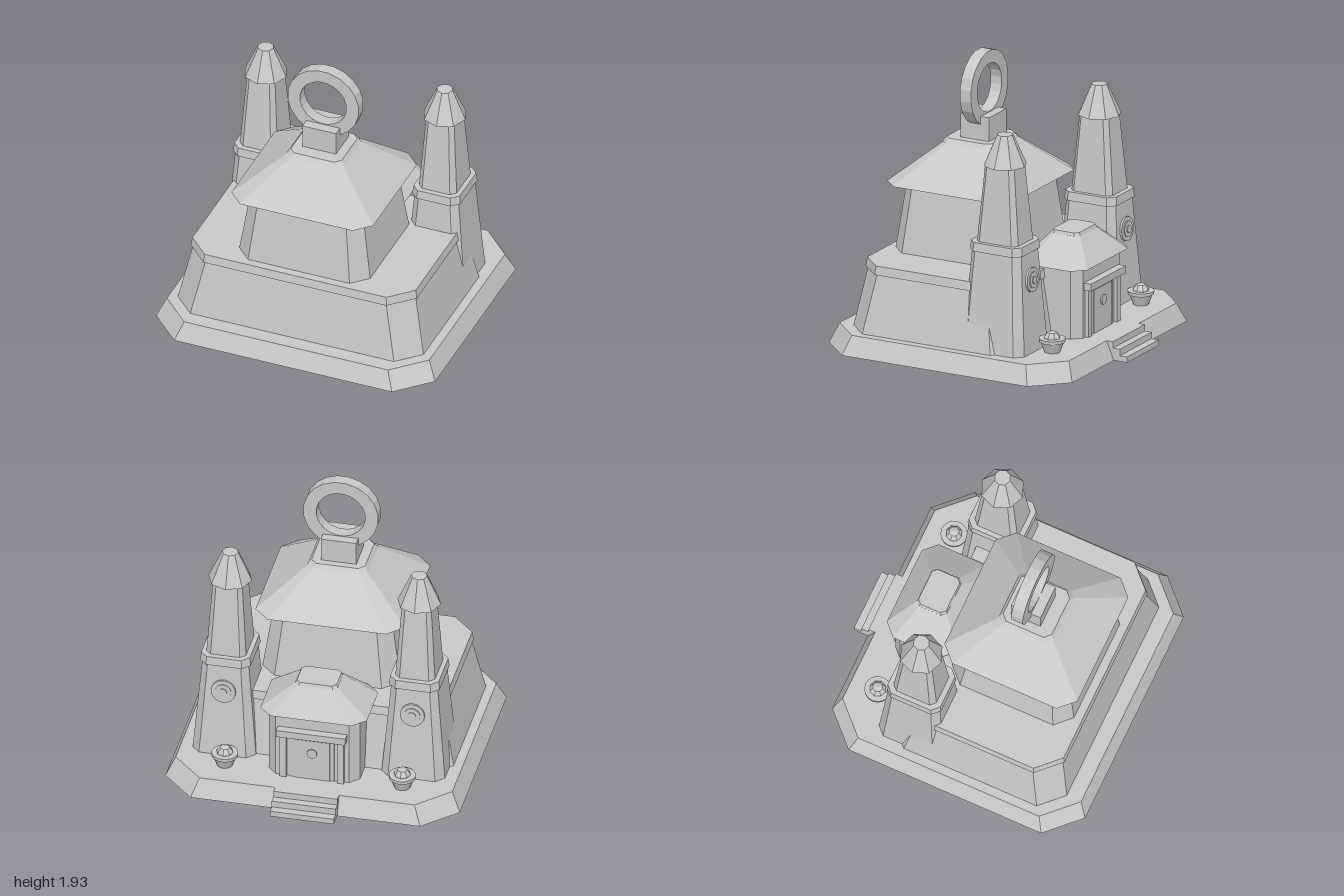
import * as THREE from 'three';

const stone = new THREE.MeshStandardMaterial({ color: 0xc8c8c8, flatShading: true, side: THREE.DoubleSide });
stone.name = 'stone';

// Chamfered rectangular cross-sections [y, halfX, halfZ, chamfer], joined bottom to top.
function loft(sections, openBottom = false) {
  const rings = sections.map(([y, x, z, c]) =>
    [[c - x, z], [x - c, z], [x, z - c], [x, c - z], [x - c, -z], [c - x, -z], [-x, c - z], [-x, z - c]]
      .map(([px, pz]) => [px, y, pz]));
  const pos = [];
  const tri = (...corners) => corners.forEach((p) => pos.push(...p));
  for (let r = 0; r < rings.length - 1; r++) {
    for (let i = 0; i < 8; i++) {
      const j = (i + 1) % 8, lo = rings[r], hi = rings[r + 1];
      tri(lo[i], lo[j], hi[j]);
      tri(lo[i], hi[j], hi[i]);
    }
  }
  const bottom = rings[0], top = rings[rings.length - 1];
  for (let i = 1; i < 7; i++) {
    tri(top[0], top[i], top[i + 1]);
    if (!openBottom) tri(bottom[0], bottom[i + 1], bottom[i]);
  }
  const g = new THREE.BufferGeometry();
  g.setAttribute('position', new THREE.Float32BufferAttribute(pos, 3));
  g.computeVertexNormals();
  return g;
}

function add(parent, name, geometry, x = 0, y = 0, z = 0) {
  const m = new THREE.Mesh(geometry, stone);
  m.name = name;
  m.position.set(x, y, z);
  parent.add(m);
  return m;
}

const box = (w, h, d) => new THREE.BoxGeometry(w, h, d);
const drum = (top, bottom, h, n) => new THREE.CylinderGeometry(top, bottom, h, n);

function makeTower() {
  const t = new THREE.Group();
  add(t, 'towerFoot', loft([[0.13, 0.215, 0.235, 0.055], [0.82, 0.157, 0.186, 0.045]]));
  add(t, 'towerBand', loft([[0.81, 0.172, 0.199, 0.05], [0.87, 0.165, 0.192, 0.048]]));
  add(t, 'towerShaft', loft([[0.86, 0.135, 0.157, 0.035], [1.4, 0.1, 0.11, 0.028]]));
  add(t, 'towerCap', drum(0.055, 0.148, 0.21, 8), 0, 1.495, 0);
  // Stepped round medallion on the back face
  const medallion = new THREE.Group();
  medallion.name = 'medallion';
  [[0.083, 0.03], [0.055, 0.044], [0.027, 0.058]].forEach(([r, h]) => {
    add(medallion, 'medallionRing', drum(r, r, h, 20)).rotation.x = Math.PI / 2;
  });
  medallion.position.set(0, 0.62, -0.2);
  medallion.rotation.x = 0.07;
  t.add(medallion);
  return t;
}

function makeBrazier() {
  const b = new THREE.Group();
  add(b, 'brazierBowl', drum(0.083, 0.053, 0.08, 16), 0, 0.17, 0);
  add(b, 'brazierRim', drum(0.09, 0.088, 0.024, 16), 0, 0.213, 0);
  add(b, 'brazierCoals', new THREE.SphereGeometry(0.058, 8, 5), 0, 0.218, 0);
  return b;
}

export function createModel() {
  const model = new THREE.Group();
  model.name = 'temple';

  // Hollow plinth, open underneath, and lower hall
  add(model, 'plinth', loft([[0, 1, 0.923, 0.22], [0.13, 0.94, 0.87, 0.21]], true), 0, 0, 0.05);
  add(model, 'lowerHall', loft([[0.13, 0.88, 0.635, 0.15], [0.54, 0.795, 0.567, 0.15]]), 0, 0, 0.18);
  add(model, 'lowerHallBand', loft([[0.53, 0.81, 0.585, 0.155], [0.59, 0.8, 0.575, 0.15]]), 0, 0, 0.18);

  // Upper hall and hipped roof
  add(model, 'upperHall', loft([[0.58, 0.47, 0.445, 0.105], [1.06, 0.4, 0.385, 0.088]]), 0, 0, 0.255);
  add(model, 'mainRoof', loft([[1.055, 0.508, 0.485, 0.105], [1.32, 0.185, 0.178, 0.035]]), 0, 0, 0.257);
  add(model, 'roofSlab', loft([[1.31, 0.205, 0.2, 0.045], [1.34, 0.182, 0.177, 0.04]]), 0, 0, 0.257);

  // Ring on its block
  add(model, 'ringBlock', box(0.24, 0.175, 0.215), 0, 1.4175, 0.235);
  const circle = (r) => Array.from({ length: 20 }, (_, i) => {
    const a = (i + 0.5) * Math.PI / 10;
    return new THREE.Vector2(r * Math.cos(a), r * Math.sin(a));
  });
  const shape = new THREE.Shape(circle(0.256));
  shape.holes.push(new THREE.Path(circle(0.167)));
  const ring = new THREE.ExtrudeGeometry(shape, { depth: 0.084, bevelEnabled: false });
  add(model, 'crownRing', ring, 0, 1.676, 0.19);

  // Entrance shrine at the back
  add(model, 'shrineWalls', loft([[0.13, 0.31, 0.207, 0.06], [0.625, 0.31, 0.207, 0.06]]), 0, 0, -0.45);
  add(model, 'shrineRoof', loft([[0.618, 0.362, 0.255, 0.085], [0.79, 0.145, 0.108, 0.03]]), 0, 0, -0.452);
  add(model, 'shrineRoofSlab', loft([[0.785, 0.147, 0.11, 0.03], [0.81, 0.135, 0.1, 0.027]]), 0, 0, -0.453);
  add(model, 'doorLintel', box(0.47, 0.05, 0.075), 0, 0.485, -0.675);
  for (const s of [-1, 1]) {
    add(model, 'doorPilaster', box(0.045, 0.34, 0.04), s * 0.195, 0.295, -0.662);
  }
  add(model, 'doorFrame', box(0.3, 0.335, 0.014), 0, 0.2975, -0.658);
  add(model, 'doorPanel', box(0.24, 0.3, 0.014), 0, 0.28, -0.664);
  add(model, 'doorBoss', drum(0.034, 0.034, 0.03, 16), 0, 0.335, -0.666).rotation.x = Math.PI / 2;

  // Back steps
  [[0, 0.04, -0.974], [0.04, 0.085, -0.92], [0.085, 0.13, -0.868]].forEach(([low, high, back]) => {
    add(model, 'step', box(0.434, high - low, -0.82 - back), 0, (low + high) / 2, (back - 0.82) / 2);
  });

  // Mirrored towers and braziers
  for (const [side, s] of [['left', 1], ['right', -1]]) {
    const tower = makeTower();
    tower.name = side + 'Tower';
    tower.position.set(s * 0.642, 0, -0.286);
    model.add(tower);
    const brazier = makeBrazier();
    brazier.name = side + 'Brazier';
    brazier.position.set(s * 0.603, 0, -0.622);
    model.add(brazier);
  }
  return model;
}
